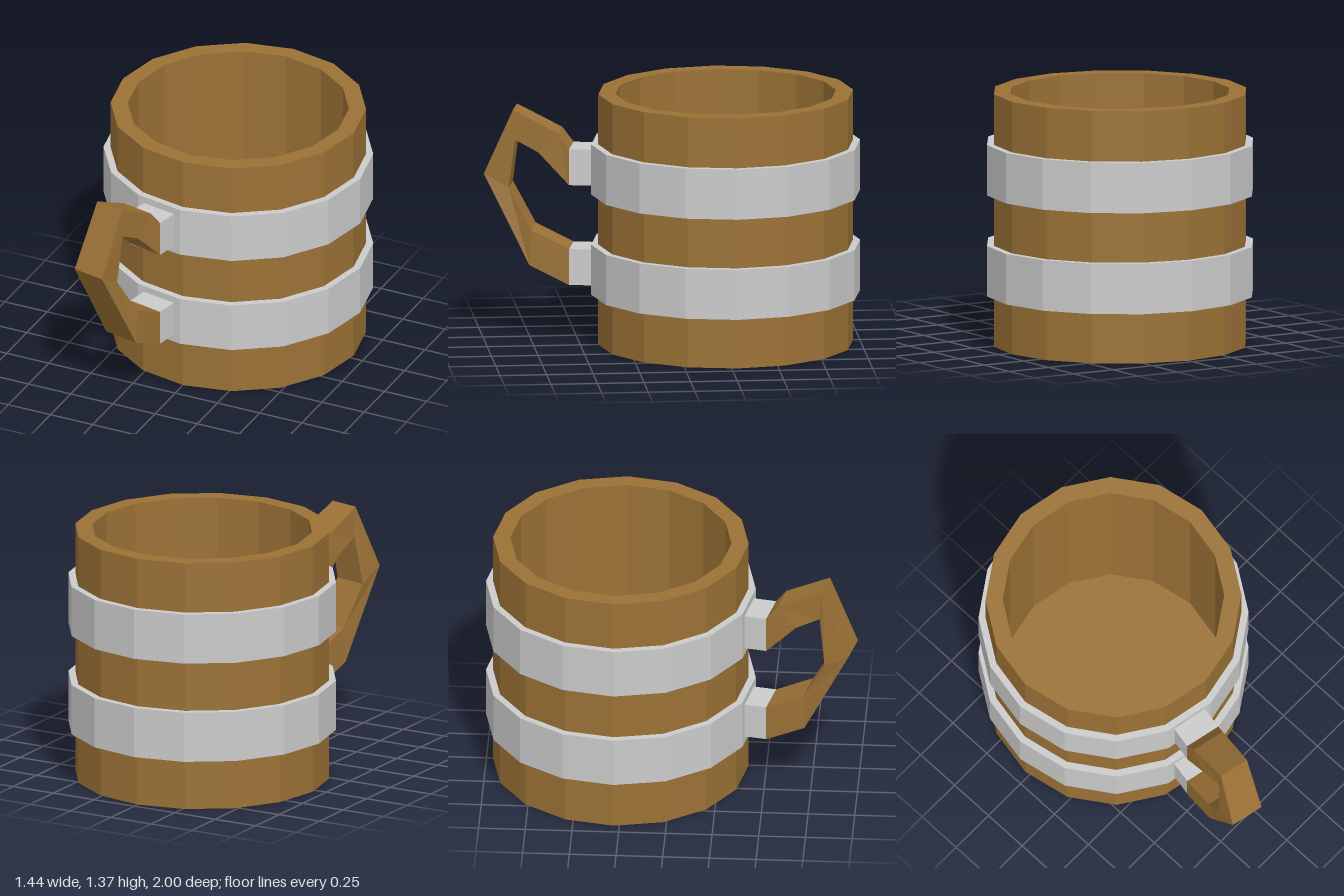
import * as THREE from 'three';

const SIDES = 16;
const CENTRE_Z = -0.28;
const HEIGHT = 1.367;

const wood = new THREE.MeshStandardMaterial({ color: 0x9c7236, flatShading: true });
const metal = new THREE.MeshStandardMaterial({ color: 0xcccccc, flatShading: true });

function part(name, geometry, material) {
  const mesh = new THREE.Mesh(geometry, material);
  mesh.name = name;
  return mesh;
}

function lathe(points) {
  return new THREE.LatheGeometry(points.map(([r, y]) => new THREE.Vector2(r, y)), SIDES);
}

// Four-sided loft; each section is [outer, inner] edge, each edge [x, y, z, width]
function loft(sections) {
  const corners = ([x, y, z, w]) => [[x, y, z], [x - w, y, z - w * 0.22]];
  const rings = sections.map(([outer, inner]) => {
    const [outerNear, outerFar] = corners(outer);
    const [innerNear, innerFar] = corners(inner);
    return [outerNear, outerFar, innerFar, innerNear];
  });
  const positions = [];
  for (let s = 0; s < rings.length - 1; s++) {
    for (let k = 0; k < 4; k++) {
      const n = (k + 1) % 4;
      const a = rings[s][k], b = rings[s][n];
      const c = rings[s + 1][n], d = rings[s + 1][k];
      positions.push(...a, ...b, ...c, ...a, ...c, ...d);
    }
  }
  const geometry = new THREE.BufferGeometry();
  geometry.setAttribute('position', new THREE.Float32BufferAttribute(positions, 3));
  geometry.computeVertexNormals();
  return geometry;
}

export function createModel() {
  const model = new THREE.Group();
  model.name = 'tankard';

  // Hollow wooden vessel
  const vessel = part('vessel', lathe([
    [0, 0], [0.684, 0], [0.684, HEIGHT], [0.592, HEIGHT], [0.592, 0.1], [0, 0.1],
  ]), wood);
  vessel.position.z = CENTRE_Z;
  model.add(vessel);

  // Two metal hoops, each a fifth of the height
  [['lowerHoop', 0.2], ['upperHoop', 0.6]].forEach(([name, start]) => {
    const y0 = start * HEIGHT, y1 = (start + 0.2) * HEIGHT;
    const hoop = part(name, lathe([
      [0.68, y0], [0.722, y0], [0.722, y1], [0.68, y1], [0.68, y0],
    ]), metal);
    hoop.position.z = CENTRE_Z;
    model.add(hoop);
  });

  // Metal brackets that carry the handle, square to one facet of the hoops
  const brackets = new THREE.Group();
  brackets.name = 'brackets';
  brackets.position.z = CENTRE_Z;
  brackets.rotation.y = -Math.PI / SIDES;
  [['lowerBracket', 0.413], ['upperBracket', 0.958]].forEach(([name, y]) => {
    const bracket = part(name, new THREE.BoxGeometry(0.2, 0.196, 0.141), metal);
    bracket.position.set(0, y, 0.76);
    brackets.add(bracket);
  });
  model.add(brackets);

  // Angular wooden handle, from the upper bracket down to the lower one
  model.add(part('handle', loft([
    [[-0.064, 1.056, 0.555, 0.197], [-0.064, 0.86, 0.555, 0.197]],
    [[-0.09, 1.137, 0.612, 0.18], [-0.118, 1.03, 0.714, 0.18]],
    [[-0.149, 1.26, 0.848, 0.163], [-0.149, 1.096, 0.837, 0.163]],
    [[-0.195, 0.905, 1.0, 0.18], [-0.168, 0.83, 0.869, 0.18]],
    [[-0.107, 0.417, 0.763, 0.197], [-0.103, 0.61, 0.755, 0.197]],
    [[-0.064, 0.315, 0.555, 0.197], [-0.064, 0.511, 0.555, 0.197]],
  ]), wood));

  return model;
}
